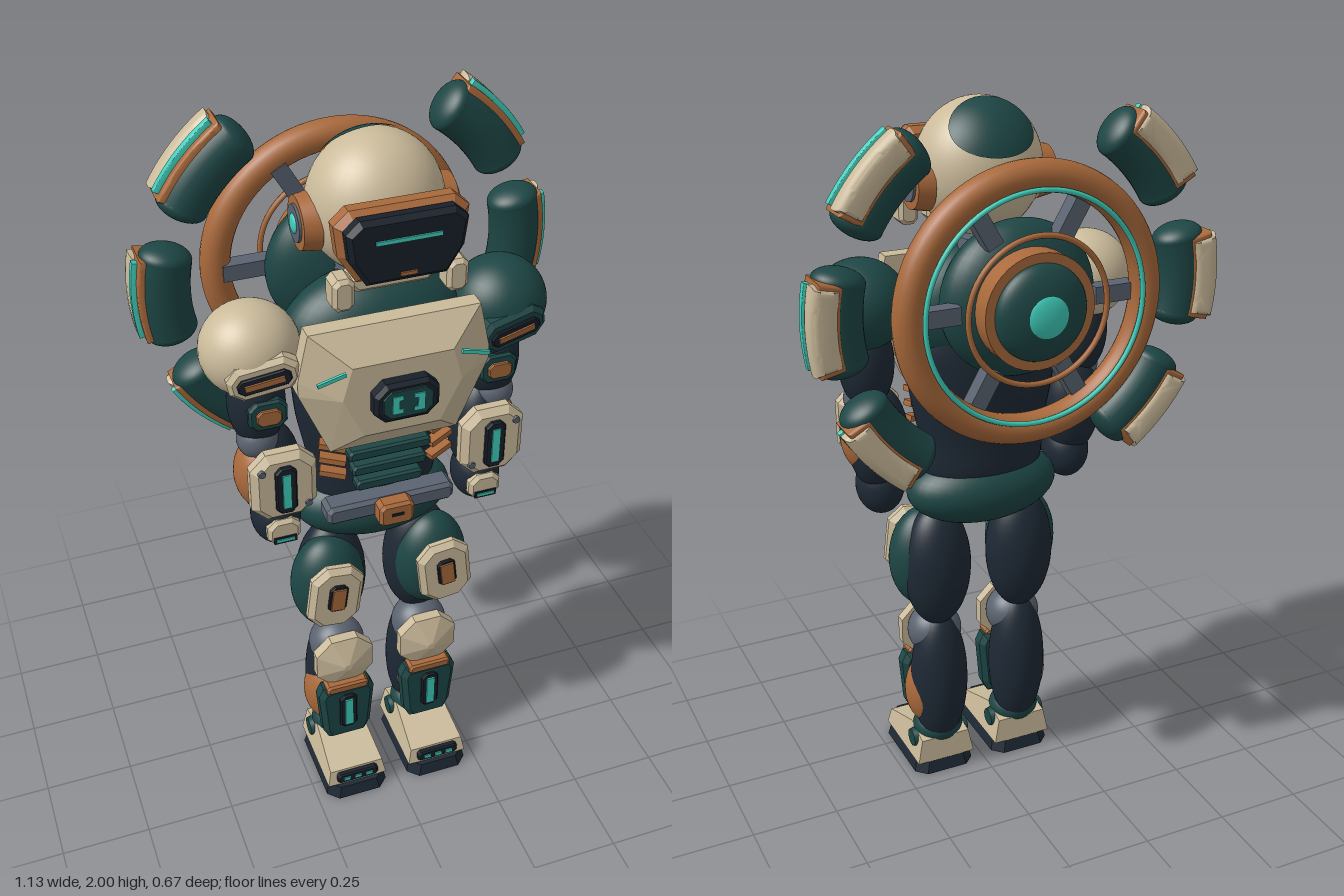
import * as THREE from 'three';
import { toCreasedNormals } from 'three/addons/utils/BufferGeometryUtils.js';
import { ConvexGeometry } from 'three/addons/geometries/ConvexGeometry.js';

const mat = (name, color) => Object.assign(new THREE.MeshStandardMaterial({ color }), { name });
const navy = mat('navy', 0x1e2935), black = mat('nearBlack', 0x18202a), green = mat('deepGreen', 0x1d4645);
const cream = mat('cream', 0xcbbb9b), copper = mat('copper', 0xa9693b), cyan = mat('cyan', 0x3fcdbb), grey = mat('steel', 0x5a6370);

const group = (parent, name) => {
  const g = new THREE.Group();
  g.name = name;
  parent.add(g);
  return g;
};
function add(parent, name, geo, material, pos = [0, 0, 0], rot = [0, 0, 0]) {
  const m = new THREE.Mesh(geo, material);
  m.name = name;
  m.position.set(...pos);
  m.rotation.set(...rot);
  parent.add(m);
  return m;
}
const ball = (rx, ry = rx, rz = rx) => new THREE.SphereGeometry(1, 40, 28).scale(rx, ry, rz);
const box = (w, h, d) => new THREE.BoxGeometry(w, h, d);
// Round disc or drum facing z
const disc = (rBack, rFront, d) => new THREE.CylinderGeometry(rFront, rBack, d, 40).rotateX(Math.PI / 2);

// Outline with clipped corners
const octagon = (w, h, c) => {
  const x = w / 2, y = h / 2;
  return [[-x + c, -y], [x - c, -y], [x, -y + c], [x, y - c], [x - c, y], [-x + c, y], [-x, y - c], [-x, -y + c]];
};
const mirrored = right => [...right, ...right.map(([x, y]) => [-x, y]).reverse()];
// Flat plate with chamfered edges, centred in depth
function plate(pts, d, b = 0.006) {
  const shape = new THREE.Shape(pts.map(p => new THREE.Vector2(...p)));
  return new THREE.ExtrudeGeometry(shape, {
    depth: d - 2 * b, bevelSize: b, bevelThickness: b, bevelOffset: -b, bevelSegments: 1,
  }).translate(0, 0, b - d / 2);
}
// Faceted solid from outlines stacked in z: [points, z]
const facets = layers => new ConvexGeometry(layers.flatMap(([pts, z]) => pts.map(([x, y]) => new THREE.Vector3(x, y, z))));
// Curved strip with rounded edges: part of a ring around the z axis
function sector(r0, r1, half, z0, z1, b) {
  const s = new THREE.Shape();
  s.absarc(0, 0, r1, -half, half, false);
  s.absarc(0, 0, r0, half, -half, true);
  const g = new THREE.ExtrudeGeometry(s, {
    depth: z1 - z0 - 2 * b, bevelSize: b, bevelThickness: b, bevelOffset: -b, bevelSegments: 4, curveSegments: 14,
  }).translate(0, 0, z0 + b);
  return toCreasedNormals(g, 0.6);
}

function buildHead(root) {
  const g = group(root, 'head');
  add(g, 'helmet', ball(0.17, 0.178, 0.155), cream, [0, 1.822, 0.083]);
  // Oval patch following the crown of the helmet
  const cap = new THREE.SphereGeometry(1, 40, 14, 0, Math.PI * 2, 0, 0.58);
  const p = cap.attributes.position, v = new THREE.Vector3();
  for (let i = 0; i < p.count; i++) {
    v.fromBufferAttribute(p, i);
    v.x *= 1.32;
    v.normalize();
    p.setXYZ(i, v.x, v.y, v.z);
  }
  cap.rotateX(-0.72).scale(0.173, 0.181, 0.158).computeVertexNormals();
  add(g, 'crownPatch', cap, green, [0, 1.822, 0.083]);

  const face = k => mirrored([[0.11, -0.092], [0.155, -0.02], [0.165, 0.06], [0.128, 0.093]]).map(([x, y]) => [x * k, y * k]);
  add(g, 'visorFrame', plate(face(1), 0.065, 0.018), copper, [0, 1.812, 0.248]);
  add(g, 'visor', plate(face(0.9), 0.045, 0.012), black, [0, 1.812, 0.29]);
  add(g, 'visorLight', box(0.16, 0.01, 0.006), cyan, [0, 1.84, 0.314]);
  add(g, 'visorMark', box(0.04, 0.009, 0.006), copper, [0, 1.752, 0.314]);
  add(g, 'neck', new THREE.CylinderGeometry(0.075, 0.09, 0.12, 32), grey, [0, 1.595, 0.03]);
  for (const s of [-1, 1]) {
    const ear = group(g, 'ear');
    ear.position.set(s * 0.172, 1.795, 0.08);
    ear.rotation.y = s * Math.PI / 2;
    add(ear, 'earRim', disc(0.074, 0.066, 0.045), copper);
    add(ear, 'earDisc', disc(0.05, 0.046, 0.05), grey, [0, 0, 0.004]);
    add(ear, 'earLight', ball(0.024, 0.024, 0.008), cyan, [0, 0, 0.029]);
    add(g, 'jawBlock', plate(octagon(0.055, 0.085, 0.014), 0.066, 0.01), cream, [s * 0.142, 1.692, 0.242]);
  }
  add(g, 'chin', plate(octagon(0.22, 0.06, 0.02), 0.06, 0.01), cream, [0, 1.69, 0.19]);
}

function buildTorso(root) {
  const g = group(root, 'torso');
  const profile = [[0, 0.95], [0.16, 0.97], [0.182, 1.1], [0.21, 1.25], [0.21, 1.38], [0.15, 1.5], [0, 1.55]];
  const waist = new THREE.LatheGeometry(new THREE.SplineCurve(profile.map(q => new THREE.Vector2(...q))).getPoints(30), 40);
  add(g, 'abdomen', waist.scale(1, 1, 0.6), navy, [0, 0, 0.07]);
  add(g, 'upperChest', ball(0.245, 0.18, 0.13), green, [0, 1.46, 0.07]);
  add(g, 'pelvis', ball(0.222, 0.108, 0.13), green, [0, 0.932, 0.07]);

  const rim = mirrored([[0.17, -0.178], [0.25, 0.01], [0.25, 0.05], [0.222, 0.178]]);
  const crest = mirrored([[0.1, -0.105], [0.155, 0.01], [0.13, 0.1]]);
  add(g, 'chestPlate', facets([[rim, 0.19], [rim, 0.235], [crest, 0.293]]), cream, [0, 1.402, 0]);
  add(g, 'emblemBase', plate(octagon(0.17, 0.112, 0.03), 0.045, 0.01), black, [0, 1.4, 0.305]);
  add(g, 'emblemFace', plate(octagon(0.13, 0.08, 0.02), 0.008, 0.002), green, [0, 1.4, 0.328]);
  for (const s of [-1, 1]) {
    add(g, 'emblemLight', box(0.018, 0.05, 0.006), cyan, [s * 0.033, 1.4, 0.332]);
    for (const e of [-1, 1]) add(g, 'emblemTip', box(0.016, 0.012, 0.006), cyan, [s * 0.022, 1.4 + e * 0.019, 0.332]);
    add(g, 'chestLight', box(0.075, 0.01, 0.008), cyan, [s * 0.185, 1.487, 0.3], [0, 0, -s * 0.25]);
    for (let i = 0; i < 3; i++)
      add(g, 'sideRib', box(0.07, 0.016, 0.03), copper, [s * 0.147, 1.2 - i * 0.043, 0.18], [0, s * 0.35, s * 0.2]);
  }
  for (let i = 0; i < 3; i++)
    add(g, 'bellySlat', plate(octagon(0.225 - i * 0.02, 0.032, 0.008), 0.04), green, [0, 1.172 - i * 0.05, 0.195]);
  add(g, 'belt', plate(octagon(0.355, 0.055, 0.012), 0.07, 0.01), grey, [0, 1.0, 0.195]);
  add(g, 'buckle', plate(octagon(0.096, 0.07, 0.012), 0.05, 0.008), copper, [0, 1.0, 0.248]);
  add(g, 'buckleSlot', box(0.034, 0.008, 0.006), black, [0, 1.003, 0.273]);
}

function buildArm(root, s) {
  const g = group(root, s > 0 ? 'leftArm' : 'rightArm');
  const shell = s > 0 ? green : cream;
  add(g, 'shoulder', ball(0.127, 0.122, 0.12), shell, [s * 0.33, 1.49, 0.1]);
  const pad = group(g, 'shoulderPad');
  pad.position.set(s * 0.325, 1.468, 0.197);
  pad.rotation.set(0.08, s * 0.1, 0.2);
  add(pad, 'padPlate', plate(octagon(0.18, 0.1, 0.03), 0.05, 0.012), shell);
  add(pad, 'padInset', plate(octagon(0.135, 0.046, 0.014), 0.012, 0.003), black, [0, 0, 0.026]);
  add(pad, 'padSlot', box(0.1, 0.016, 0.008), copper, [0, 0, 0.033]);
  add(g, 'upperArm', ball(0.075, 0.13, 0.075), navy, [s * 0.32, 1.33, 0.1]);
  add(g, 'armBand', plate(octagon(0.1, 0.085, 0.02), 0.03), green, [s * 0.31, 1.33, 0.165]);
  add(g, 'armBadge', plate(octagon(0.065, 0.045, 0.012), 0.012, 0.003), copper, [s * 0.31, 1.33, 0.184]);
  add(g, 'elbow', ball(0.055), grey, [s * 0.325, 1.225, 0.115]);

  add(g, 'forearm', ball(0.085, 0.15, 0.08), navy, [s * 0.295, 1.11, 0.1]);
  add(g, 'forearmShell', ball(0.07, 0.105, 0.08), copper, [s * 0.322, 1.115, 0.115]);
  const guard = group(g, 'gauntlet');
  guard.position.set(s * 0.287, 1.13, 0.195);
  add(guard, 'guardPlate', plate(octagon(0.175, 0.205, 0.042), 0.06, 0.018), cream);
  add(guard, 'guardInset', plate(octagon(0.056, 0.145, 0.015), 0.016, 0.004), black, [0, 0, 0.034]);
  add(guard, 'guardLight', box(0.022, 0.105, 0.008), cyan, [0, 0, 0.042]);
  for (const [x, y] of [[0.06, 0.06], [-0.06, -0.06]]) add(guard, 'bolt', disc(0.011, 0.009, 0.008), grey, [s * x, y, 0.03]);

  add(g, 'hand', ball(0.067, 0.085, 0.074), navy, [s * 0.287, 0.965, 0.115]);
  add(g, 'handPlate', plate(octagon(0.09, 0.08, 0.022), 0.035, 0.01), cream, [s * 0.285, 0.957, 0.178]);
  add(g, 'handInset', box(0.062, 0.02, 0.006), black, [s * 0.285, 0.938, 0.196]);
  add(g, 'handLight', box(0.05, 0.009, 0.006), cyan, [s * 0.285, 0.938, 0.199]);
}

function buildLeg(root, s) {
  const g = group(root, s > 0 ? 'leftLeg' : 'rightLeg');
  const x = s * 0.127;
  add(g, 'thigh', ball(0.1, 0.19, 0.085), navy, [s * 0.13, 0.685, 0.095]);
  add(g, 'thighShell', ball(0.105, 0.155, 0.085), green, [s * 0.152, 0.7, 0.135]);
  const pad = group(g, 'thighPad');
  pad.position.set(s * 0.16, 0.72, 0.222);
  pad.rotation.z = s * 0.12;
  add(pad, 'thighPlate', plate(octagon(0.15, 0.205, 0.04), 0.045, 0.015), cream);
  add(pad, 'thighInset', plate(octagon(0.052, 0.088, 0.012), 0.012, 0.003), black, [0, 0.01, 0.025]);
  add(pad, 'thighSlot', box(0.038, 0.07, 0.008), copper, [0, 0.01, 0.032]);

  add(g, 'kneeJoint', ball(0.08, 0.078, 0.075), grey, [x, 0.455, 0.13]);
  const cap = octagon(0.168, 0.165, 0.045);
  add(g, 'kneeCap', facets([[cap, 0.175], [cap, 0.205], [octagon(0.02, 0.02, 0.006), 0.235]]), cream, [x, 0.437, 0]);

  add(g, 'shin', ball(0.085, 0.225, 0.078), navy, [x, 0.305, 0.1]);
  add(g, 'shinShell', ball(0.084, 0.12, 0.08), copper, [s * 0.14, 0.258, 0.12]);
  const guard = mirrored([[0.055, -0.105], [0.072, -0.07], [0.084, 0.07], [0.07, 0.1]]);
  add(g, 'shinTrim', plate(octagon(0.125, 0.03, 0.008), 0.05, 0.006), copper, [x, 0.353, 0.208]);
  add(g, 'shinGuard', plate(guard, 0.06, 0.015), green, [x, 0.253, 0.2]);
  add(g, 'shinInset', plate(octagon(0.052, 0.13, 0.014), 0.014, 0.004), black, [x, 0.262, 0.232]);
  add(g, 'shinLight', box(0.024, 0.1, 0.008), cyan, [x, 0.262, 0.24]);

  // Boot
  add(g, 'ankle', ball(0.075, 0.055, 0.07), green, [x, 0.13, 0.12]);
  const side = [[0.055, 0.04], [0.06, 0.115], [0.15, 0.135], [0.3, 0.088], [0.31, 0.04]];
  const boot = side.flatMap(([z, y]) => [-1, 1].map(e => new THREE.Vector3(e * (0.098 - y * 0.2), y, z)));
  add(g, 'boot', new ConvexGeometry(boot), cream, [x, 0, 0]);
  const sole = facets([[octagon(0.186, 0.282, 0.03), 0], [octagon(0.17, 0.266, 0.03), 0.038]]).rotateX(-Math.PI / 2);
  add(g, 'sole', sole, navy, [x, 0, 0.19]);
  add(g, 'toePanel', plate(octagon(0.125, 0.034, 0.008), 0.02, 0.004), black, [x, 0.066, 0.308]);
  for (const i of [-1, 0, 1]) add(g, 'toeLight', box(0.02, 0.012, 0.006), cyan, [x + i * 0.034, 0.066, 0.318]);
  for (const e of [-1, 1]) add(g, 'ankleBolt', disc(0.03, 0.026, 0.02), green, [x + e * 0.078, 0.1, 0.115], [0, e * Math.PI / 2, 0]);
}

function buildBackRing(root) {
  const g = group(root, 'backRing');
  g.position.y = 1.535;
  add(g, 'backpack', ball(0.212, 0.205, 0.1), green, [0, 0, -0.15]);
  add(g, 'mainRing', new THREE.TorusGeometry(0.326, 0.04, 20, 80), copper, [0, 0, -0.22]);
  add(g, 'ringLight', new THREE.TorusGeometry(0.298, 0.007, 8, 80), cyan, [0, 0, -0.262]);
  add(g, 'innerRing', new THREE.TorusGeometry(0.19, 0.008, 8, 64), copper, [0, 0, -0.27]);
  add(g, 'hubDisc', disc(0.15, 0.15, 0.06), copper, [0, 0, -0.25]);
  add(g, 'hubDome', ball(0.125, 0.125, 0.05), green, [0, 0, -0.28]);
  add(g, 'hubLight', ball(0.058, 0.058, 0.018), cyan, [0, 0, -0.318]);
  for (let i = 0; i < 6; i++) {
    const a = i * Math.PI / 3;
    add(g, 'spoke', box(0.13, 0.045, 0.045), grey, [Math.cos(a) * 0.25, Math.sin(a) * 0.25, -0.2], [0, 0, a]);
  }
  // Three curved, round-ended pods on each side
  const half = 0.215, R = 0.48;
  for (const base of [0, Math.PI]) for (const k of [-1, 0, 1]) {
    const pod = group(g, 'pod');
    pod.rotation.z = base + k * 0.733;
    const tube = new THREE.TorusGeometry(R, 0.068, 24, 14, half * 2).rotateZ(-half).scale(1, 1, 0.9);
    add(pod, 'podBody', tube, green, [0, 0, -0.139]);
    for (const e of [-1, 1])
      add(pod, 'podEnd', ball(0.068, 0.035, 0.0612), green, [R * Math.cos(half), e * R * Math.sin(half), -0.139], [0, 0, e * half]);
    add(pod, 'podShell', sector(0.49, 0.566, 0.205, -0.207, -0.146, 0.022), cream);
    add(pod, 'podTrim', sector(0.485, 0.552, 0.22, -0.2, -0.104, 0.008), copper);
    add(pod, 'podLight', sector(0.54, 0.566, 0.195, -0.144, -0.124, 0.002), cyan);
  }
}

export function createModel() {
  const root = new THREE.Group();
  root.name = 'armouredRobot';
  buildHead(root);
  buildTorso(root);
  for (const s of [-1, 1]) {
    buildArm(root, s);
    buildLeg(root, s);
  }
  buildBackRing(root);
  return root;
}
